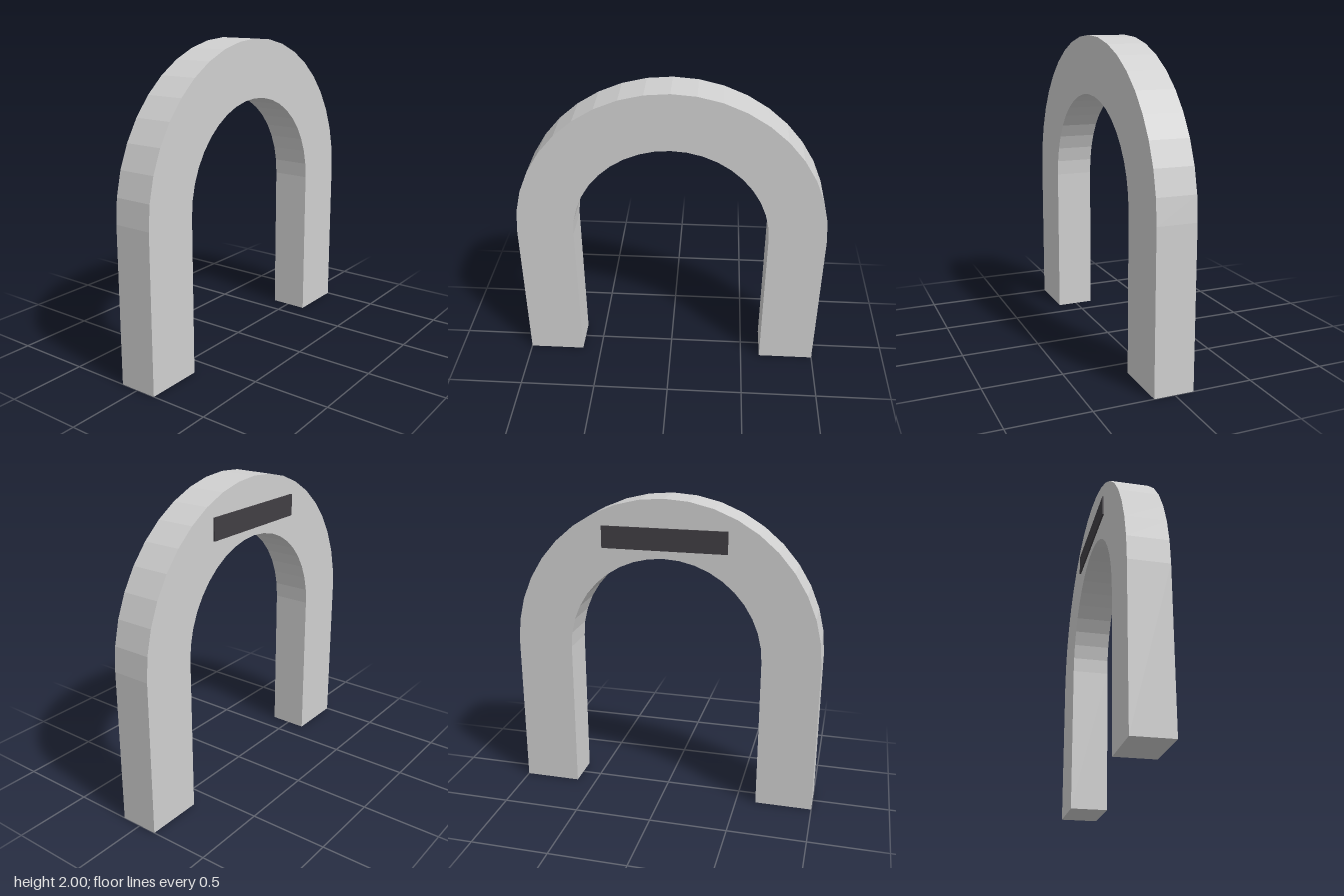
import * as THREE from 'three';

const SEGMENTS = 20; // facets around the half circle
const OUTER = 1, INNER = 0.63, SPRING = 1; // radii and height where the curve starts
const LEFT = 0.13, RIGHT = -0.12; // side faces of the arch

// Half-circle points from +x over the top to -x
function arc(radius) {
  return Array.from({ length: SEGMENTS + 1 }, (_, i) => {
    const a = (i / SEGMENTS) * Math.PI;
    return new THREE.Vector2(radius * Math.cos(a), SPRING + radius * Math.sin(a));
  });
}

export function createModel() {
  const stone = new THREE.MeshStandardMaterial({ name: 'lightGrey', color: 0xd0d0d0, flatShading: true });
  const dark = new THREE.MeshStandardMaterial({ name: 'darkGrey', color: 0x413e43 });
  const model = new THREE.Group();
  model.name = 'archway';

  // Arch with two straight legs, extruded across its thickness
  const outline = new THREE.Shape([
    new THREE.Vector2(OUTER, 0),
    ...arc(OUTER),
    new THREE.Vector2(-OUTER, 0),
    new THREE.Vector2(-INNER, 0),
    ...arc(INNER).reverse(),
    new THREE.Vector2(INNER, 0),
  ]);
  const archGeometry = new THREE.ExtrudeGeometry(outline, { depth: LEFT - RIGHT, bevelEnabled: false });
  archGeometry.rotateY(Math.PI / 2).translate(RIGHT, 0, 0);
  const arch = new THREE.Mesh(archGeometry, stone);
  arch.name = 'arch';
  model.add(arch);

  // Thin dark sign plate on the right side
  const plate = new THREE.Mesh(new THREE.BoxGeometry(0.0098, 0.14, 0.8), dark);
  plate.name = 'signPlate';
  plate.position.set(RIGHT - 0.0049, 1.75, 0);
  model.add(plate);

  return model;
}
